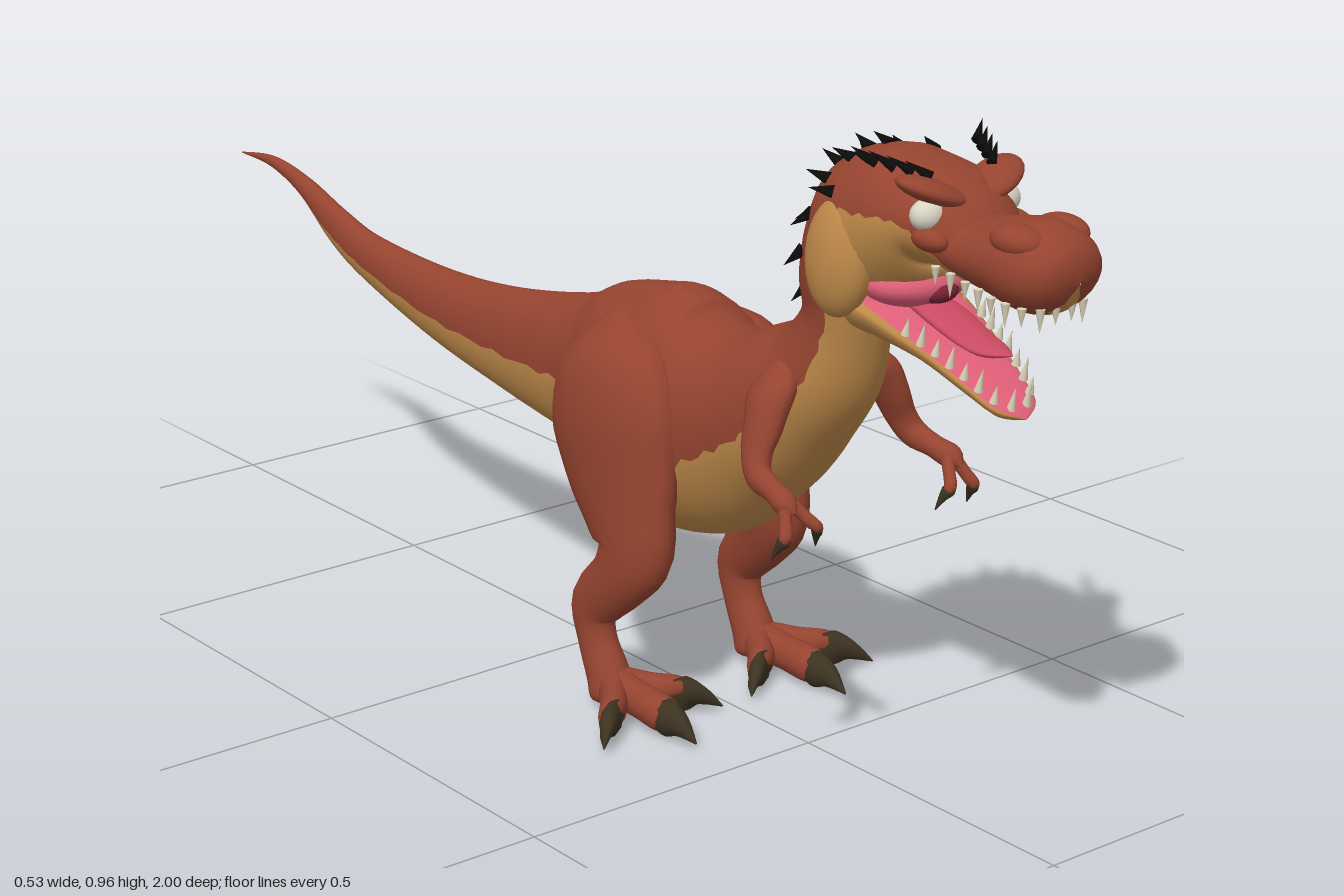
import * as THREE from 'three';

const mat = (name, color, extra = {}) => Object.assign(new THREE.MeshStandardMaterial({ color, ...extra }), { name });
const hide = mat('russet hide', 0x964430), tan = mat('tan underside', 0xbd8849), black = mat('black spikes', 0x0c0b0a);
const claw = mat('dark claw', 0x3d3322), pink = mat('mouth pink', 0xdf5f78), tongueRed = mat('tongue', 0xc94a62);
const throatRed = mat('throat', 0x7a2436), ivory = mat('teeth', 0xded6ba), eyeWhite = mat('eye', 0xd9d5c4);

const X = new THREE.Vector3(1, 0, 0), Y = new THREE.Vector3(0, 1, 0);
const V = (x, y, z) => new THREE.Vector3(x, y, z);

// Smoothly interpolated row [x, y, z, halfWidth, halfHeight, colourBorder]
function rowAt(rows, t) {
  const n = rows.length - 1, i = Math.min(Math.floor(t), n - 1), f = t - i;
  const p = k => rows[Math.max(0, Math.min(n, k))];
  return rows[i].map((_, c) => {
    const a = p(i - 1)[c], b = p(i)[c], d = p(i + 1)[c], e = p(i + 2)[c];
    return b + 0.5 * f * (d - a + f * (2 * a - 5 * b + 4 * d - e + f * (3 * (b - d) + e - a)));
  });
}

// Cross-section frame at t
function frame(rows, t) {
  const n = rows.length - 1, r = rowAt(rows, t);
  const a = rowAt(rows, Math.max(0, t - 0.1)), b = rowAt(rows, Math.min(n, t + 0.1));
  const T = V(b[0] - a[0], b[1] - a[1], b[2] - a[2]).normalize();
  return { r, T, N: T.clone().cross(X).normalize(), c: V(r[0], r[1], r[2]) };
}

function onRing({ r, N, c }, th, topScale = 1) {
  const k = Math.cos(th);
  return c.clone().addScaledVector(X, Math.max(0.0005, r[3]) * Math.sin(th))
    .addScaledVector(N, Math.max(0.0005, r[4]) * k * (k > 0 ? topScale : 1));
}

// Closed loft; the upper arc takes the first material, the lower arc the second
function loft(name, rows, mats, { sub = 4, around = 20, topScale = 1, jag = 0 } = {}) {
  const steps = (rows.length - 1) * sub, half = around / 2, pos = [], upper = [], lower = [];
  for (let i = 0; i <= steps; i++) {
    const f = frame(rows, i / sub);
    const b = Math.PI * ((f.r[5] ?? 0.5) + jag * Math.sin(i * 2.4));
    for (let j = 0; j < around; j++) {
      const th = j <= half ? -b + 2 * b * j / half : b + 2 * (Math.PI - b) * (j - half) / half;
      pos.push(...onRing(f, th, topScale).toArray());
    }
  }
  for (let i = 0; i < steps; i++) for (let j = 0; j < around; j++) {
    const k = (j + 1) % around, a = i * around + j, c = i * around + k;
    (j < half ? upper : lower).push(a, a + around, c, a + around, c + around, c);
  }
  const g = new THREE.BufferGeometry();
  g.setAttribute('position', new THREE.Float32BufferAttribute(pos, 3));
  g.setIndex([...upper, ...lower]);
  g.computeVertexNormals();
  if (Array.isArray(mats)) {
    g.addGroup(0, upper.length, 0);
    g.addGroup(upper.length, lower.length, 1);
  }
  const m = new THREE.Mesh(g, mats);
  m.name = name;
  return m;
}

function blob(name, material, p, s, rot = [0, 0, 0]) {
  const m = new THREE.Mesh(new THREE.SphereGeometry(1, 24, 16), material);
  m.position.set(...p); m.scale.set(...s); m.rotation.set(...rot);
  m.name = name;
  return m;
}

function spike(name, material, p, dir, len, rad, flat = 1) {
  const m = new THREE.Mesh(new THREE.ConeGeometry(rad, len, 8).translate(0, len * 0.4, 0), material);
  m.position.copy(p);
  m.quaternion.setFromUnitVectors(Y, dir.clone().normalize());
  m.scale.z = flat;
  m.name = name;
  return m;
}

// Tail tip, through the hips and chest, up the neck
const bodyRows = [
  [0, 0.578, -1, 0.001, 0.001, 0.85], [0, 0.582, -0.9, 0.008, 0.01, 0.8], [0, 0.558, -0.8, 0.014, 0.018, 0.72],
  [0, 0.51, -0.7, 0.02, 0.034, 0.6], [0, 0.478, -0.6, 0.027, 0.042, 0.56], [0, 0.447, -0.4, 0.04, 0.063, 0.54],
  [0, 0.437, -0.2, 0.052, 0.088, 0.52], [0, 0.443, 0, 0.078, 0.122, 0.5], [0, 0.45, 0.1, 0.108, 0.16, 0.52],
  [0, 0.443, 0.2, 0.122, 0.188, 0.56], [0, 0.445, 0.3, 0.12, 0.17, 0.58], [0, 0.48, 0.39, 0.113, 0.13, 0.58],
  [0, 0.53, 0.46, 0.102, 0.104, 0.6], [0, 0.59, 0.525, 0.083, 0.082, 0.61], [0, 0.67, 0.563, 0.069, 0.06, 0.62],
  [0, 0.74, 0.572, 0.082, 0.065, 0.64], [0, 0.82, 0.605, 0.092, 0.068, 0.64], [0, 0.87, 0.65, 0.06, 0.04, 0.64],
];

// Back of the skull to the tip of the snout
const skullRows = [
  [0, 0.8, 0.535, 0.03, 0.03, 0.85], [0, 0.805, 0.58, 0.09, 0.09, 0.8], [0, 0.82, 0.64, 0.106, 0.108, 0.42],
  [0, 0.843, 0.7, 0.106, 0.1, 0.44], [0, 0.857, 0.75, 0.099, 0.071, 0.47], [0, 0.848, 0.79, 0.085, 0.058, 0.52],
  [0, 0.83, 0.83, 0.071, 0.045, 0.65], [0, 0.83, 0.88, 0.073, 0.054, 0.82], [0, 0.829, 0.93, 0.076, 0.063, 0.86],
  [0, 0.826, 0.97, 0.066, 0.054, 0.88], [0, 0.822, 0.992, 0.042, 0.032, 0.9], [0, 0.82, 1, 0.001, 0.001, 0.9],
];

const jawRows = [
  [0, 0.735, 0.6, 0.06, 0.03, 0.3], [0, 0.725, 0.65, 0.09, 0.052, 0.3], [0, 0.715, 0.7, 0.088, 0.046, 0.33],
  [0, 0.685, 0.78, 0.068, 0.031, 0.38], [0, 0.65, 0.85, 0.051, 0.023, 0.38], [0, 0.626, 0.895, 0.036, 0.017, 0.36],
  [0, 0.614, 0.915, 0.001, 0.001, 0.35],
];

const mirrored = (rows, s) => rows.map(([x, ...rest]) => [x * s, ...rest]);

// Digit ending in a curved claw
function digit(name, a, b, tip, r, s) {
  const g = new THREE.Group();
  g.name = name;
  const mix = (p, q, f) => p.map((v, i) => v + (q[i] - v) * f);
  const m = mix(a, b, 0.5), e = mix(b, tip, 0.2), c = mix(b, tip, 0.5);
  c[1] += r * 0.2;
  g.add(loft(name + ' flesh', mirrored([[...a, r, r], [...m, r * 0.85, r * 0.9], [...b, r * 0.88, r * 0.9],
    [...e, r * 0.3, r * 0.3]], s), hide, { around: 12 }));
  g.add(loft(name + ' claw', mirrored([[...mix(a, b, 0.88), r * 0.4, r * 0.5], [...mix(b, tip, 0.08), r * 0.75, r * 0.98],
    [...c, r * 0.5, r * 0.62], [...tip, 0.001, 0.001]], s), claw, { around: 10 }));
  return g;
}

function leg(s) {
  const g = new THREE.Group();
  g.name = s > 0 ? 'leftLeg' : 'rightLeg';
  g.add(loft('thigh and shank', mirrored([
    [0.07, 0.585, 0.14, 0.01, 0.02], [0.095, 0.535, 0.155, 0.058, 0.1], [0.112, 0.46, 0.185, 0.063, 0.135],
    [0.118, 0.38, 0.212, 0.056, 0.125], [0.126, 0.315, 0.24, 0.046, 0.1], [0.131, 0.262, 0.258, 0.042, 0.074],
    [0.137, 0.21, 0.232, 0.037, 0.052], [0.142, 0.152, 0.178, 0.029, 0.044], [0.142, 0.1, 0.182, 0.026, 0.036],
    [0.142, 0.05, 0.208, 0.031, 0.036], [0.142, 0.018, 0.222, 0.032, 0.034], [0.142, 0.003, 0.225, 0.001, 0.001],
  ], s), hide));
  const root = [0.142, 0.036, 0.225];
  g.add(digit('outerToe', root, [0.205, 0.031, 0.3], [0.262, 0.01, 0.352], 0.031, s));
  g.add(digit('middleToe', root, [0.145, 0.031, 0.345], [0.145, 0.01, 0.42], 0.03, s));
  g.add(digit('innerToe', root, [0.085, 0.031, 0.295], [0.028, 0.01, 0.34], 0.031, s));
  return g;
}

function arm(s) {
  const g = new THREE.Group();
  g.name = s > 0 ? 'leftArm' : 'rightArm';
  g.add(loft('upper and lower arm', mirrored([
    [0.07, 0.605, 0.505, 0.01, 0.015], [0.092, 0.572, 0.515, 0.031, 0.04], [0.115, 0.53, 0.525, 0.026, 0.035],
    [0.134, 0.488, 0.532, 0.021, 0.027], [0.145, 0.462, 0.55, 0.019, 0.022], [0.15, 0.452, 0.585, 0.016, 0.017],
    [0.155, 0.443, 0.618, 0.018, 0.017], [0.156, 0.435, 0.637, 0.003, 0.003],
  ], s), hide, { around: 14 }));
  g.add(digit('outerFinger', [0.158, 0.443, 0.618], [0.176, 0.405, 0.642], [0.184, 0.37, 0.622], 0.011, s));
  g.add(digit('innerFinger', [0.148, 0.443, 0.618], [0.126, 0.412, 0.648], [0.113, 0.377, 0.632], 0.011, s));
  return g;
}

// Row of teeth along half the lip, mirrored
function teeth(name, pts, count, up) {
  const g = new THREE.Group(), curve = new THREE.CatmullRomCurve3(pts.map(p => V(...p)));
  g.name = name;
  for (const s of [1, -1]) for (let i = 0; i < count; i++) {
    const p = curve.getPointAt((i + 0.4) / count);
    p.x *= s;
    g.add(spike('tooth', ivory, p, V(0, up, up > 0 ? 0.25 : 0), 0.026 + 0.008 * (i % 2), 0.0065));
  }
  return g;
}

function spikesOn(g, rows, list) {
  for (const [t, angle] of list) for (const s of angle ? [1, -1] : [1]) {
    const f = frame(rows, t), p = onRing(f, angle * s);
    const out = p.clone().sub(f.c).normalize();
    g.add(spike('spike', black, p, out.multiplyScalar(0.6).addScaledVector(f.T, -0.75), 0.036, 0.011, 0.7));
  }
}

export function createModel() {
  const model = new THREE.Group();
  model.name = 'dinosaur';
  model.add(loft('body', bodyRows, [hide, tan], { sub: 6, around: 40, jag: 0.012 }));

  const head = new THREE.Group();
  head.name = 'head';
  model.add(head);
  head.add(loft('skull', skullRows, [hide, tan], { sub: 5, around: 36, jag: 0.012 }));
  head.add(loft('lowerJaw', jawRows, [pink, tan], { sub: 5, around: 28, topScale: 0.3 }));
  head.add(loft('tongue', [[0, 0.735, 0.7, 0.03, 0.012], [0, 0.718, 0.76, 0.036, 0.012], [0, 0.7, 0.81, 0.032, 0.01],
    [0, 0.692, 0.85, 0.025, 0.008], [0, 0.694, 0.885, 0.001, 0.001]], tongueRed));
  head.add(blob('mouthLining', pink, [0, 0.757, 0.695], [0.084, 0.036, 0.065]));
  head.add(blob('throat', throatRed, [0, 0.75, 0.74], [0.032, 0.018, 0.025]));
  head.add(teeth('upperTeeth', [[0.074, 0.812, 0.8], [0.063, 0.797, 0.86], [0.062, 0.786, 0.92], [0.046, 0.783, 0.965], [0, 0.785, 0.975]], 9, -1));
  head.add(teeth('lowerTeeth', [[0.072, 0.71, 0.745], [0.058, 0.687, 0.8], [0.043, 0.655, 0.86], [0.028, 0.635, 0.892], [0, 0.626, 0.905]], 8, 1));

  const crest = new THREE.Group();
  crest.name = 'spikes';
  head.add(crest);
  for (const s of [1, -1]) {
    // Face details
    head.add(blob('jowl', tan, [s * 0.086, 0.79, 0.64], [0.038, 0.085, 0.058], [0, 0, s * 0.1]));
    head.add(blob('eye', eyeWhite, [s * 0.068, 0.876, 0.787], [0.026, 0.022, 0.022]));
    head.add(blob('brow', hide, [s * 0.057, 0.905, 0.782], [0.054, 0.016, 0.036], [0, s * 0.35, s * 0.35]));
    head.add(blob('nostril ridge', hide, [s * 0.04, 0.868, 0.925], [0.03, 0.022, 0.042]));
    head.add(blob('cheek ridge', hide, [s * 0.075, 0.846, 0.8], [0.02, 0.016, 0.03], [0, 0, s * 0.4]));
    // Brow spikes
    for (let i = 0; i < 4; i++)
      crest.add(spike('brow spike', black, V(s * (0.058 + 0.012 * i), 0.925 + 0.004 * i, 0.775 - 0.022 * i),
        V(s * 0.75, 0.6, -0.5), 0.042, 0.009, 0.7));
    model.add(leg(s), arm(s));
  }
  // Spikes over the crown and down the nape
  spikesOn(crest, skullRows, [[2.6, 0], [1.8, 0], [2.9, 0.55], [2.1, 0.45], [1.5, 0.75], [2.0, 1.0], [1.15, 0.3]]);
  spikesOn(crest, bodyRows, [[16, 0], [15.4, 0], [14.8, 0], [14.1, 0], [15.7, 0.5], [15.1, 0.55], [14.5, 0.5], [15.9, 1.0], [15.3, 1.1]]);
  return model;
}
